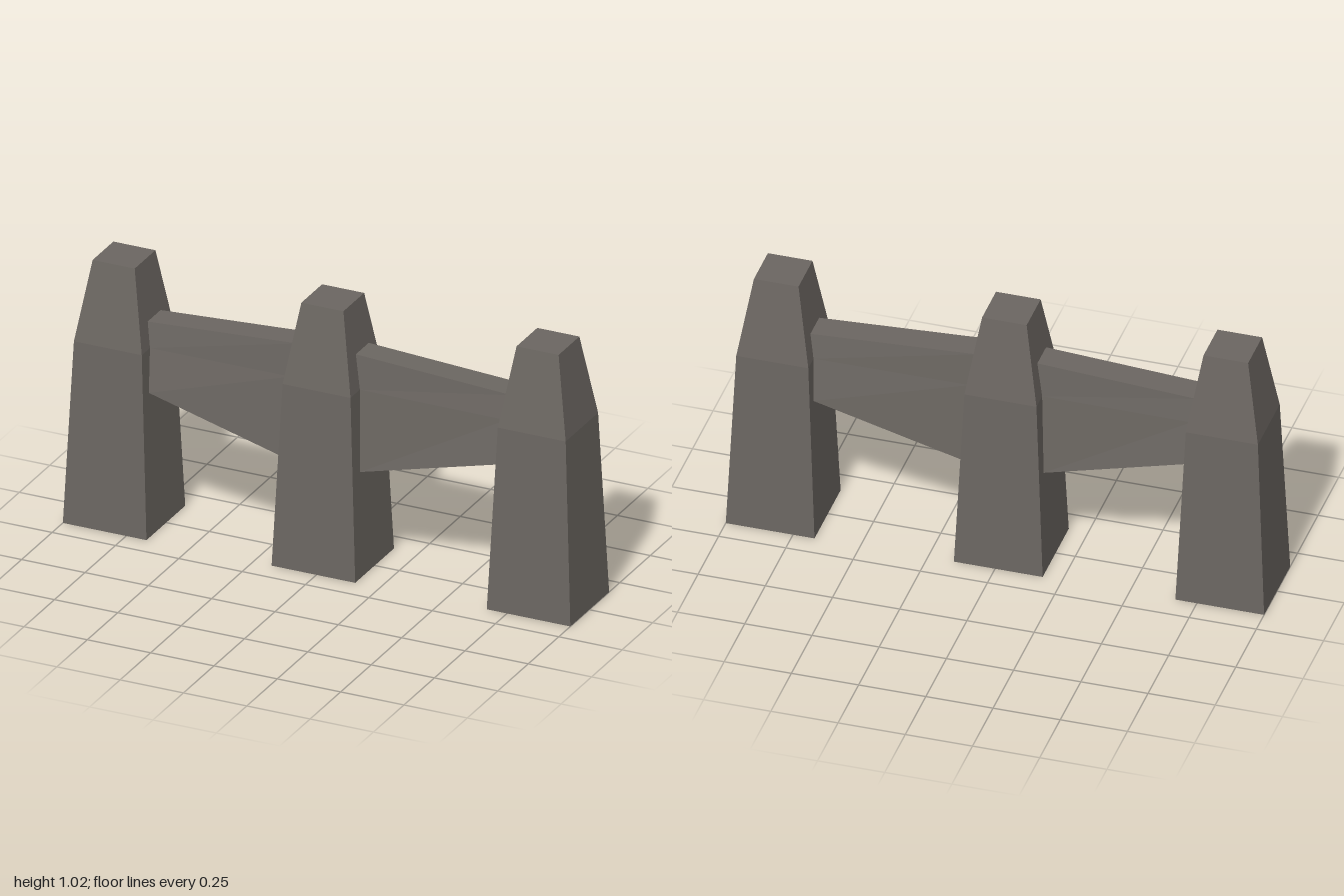
import * as THREE from 'three';

// Post half-sizes by height: [y, half width in x, half depth in z]
const PROFILE = [[0, 0.165, 0.159], [0.71, 0.134, 0.133], [1.02, 0.083, 0.085]];
const POSTS = [
  { name: 'rightPost', x: -0.835, z: 0.003 },
  { name: 'middlePost', x: -0.012, z: 0.001 },
  { name: 'leftPost', x: 0.835, z: -0.004 },
];

// Skin four-cornered rings stacked bottom to top, with optional end caps
function loft(rings, capBottom, capTop) {
  const pos = [];
  const quad = (a, b, c, d) => pos.push(...a, ...b, ...c, ...a, ...c, ...d);
  for (let i = 0; i < rings.length - 1; i++) {
    for (let k = 0; k < 4; k++) {
      const n = (k + 1) % 4;
      quad(rings[i][k], rings[i][n], rings[i + 1][n], rings[i + 1][k]);
    }
  }
  if (capBottom) quad(...[...rings[0]].reverse());
  if (capTop) quad(...rings[rings.length - 1]);
  const g = new THREE.BufferGeometry();
  g.setAttribute('position', new THREE.Float32BufferAttribute(pos, 3));
  g.computeVertexNormals();
  return g;
}

// Half width of a post at a given height
function halfWidth(y) {
  const [a, b] = y < PROFILE[1][0] ? [PROFILE[0], PROFILE[1]] : [PROFILE[1], PROFILE[2]];
  return THREE.MathUtils.mapLinear(y, a[0], b[0], a[1], b[1]);
}

// Post: tapered shaft, open underneath
function postGeometry() {
  return loft(PROFILE.map(([y, w, d]) => [[-w, y, d], [w, y, d], [w, y, -d], [-w, y, -d]]), false, true);
}

// Rail between two posts; its ends follow the sloping post faces
function railGeometry(a, b, spanA, spanB, z) {
  const depth = (y, [lo, hi]) => THREE.MathUtils.mapLinear(y, lo, hi, 0.091, 0.053);
  const levels = [[spanA[0], spanB[0]], [0.71, 0.71], [spanA[1], spanB[1]]];
  const rings = levels.map(([ya, yb]) => {
    const xa = a.x + halfWidth(ya), xb = b.x - halfWidth(yb);
    const da = depth(ya, spanA), db = depth(yb, spanB);
    return [[xa, ya, z + da], [xb, yb, z + db], [xb, yb, z - db], [xa, ya, z - da]];
  });
  return loft(rings, true, true);
}

export function createModel() {
  const stone = new THREE.MeshStandardMaterial({ color: 0x6b6661, side: THREE.DoubleSide });
  stone.name = 'stone';
  stone.flatShading = true;

  const model = new THREE.Group();
  model.name = 'fence';
  const add = (name, geometry) => {
    const mesh = new THREE.Mesh(geometry, stone);
    mesh.name = name;
    model.add(mesh);
    return mesh;
  };

  // Three posts
  for (const p of POSTS) add(p.name, postGeometry()).position.set(p.x, 0, p.z);

  // Two rails, deepest at the middle post
  const outer = [0.545, 0.805], inner = [0.4, 0.84];
  add('rightRail', railGeometry(POSTS[0], POSTS[1], outer, inner, 0.002));
  add('leftRail', railGeometry(POSTS[1], POSTS[2], inner, outer, -0.007));
  return model;
}
